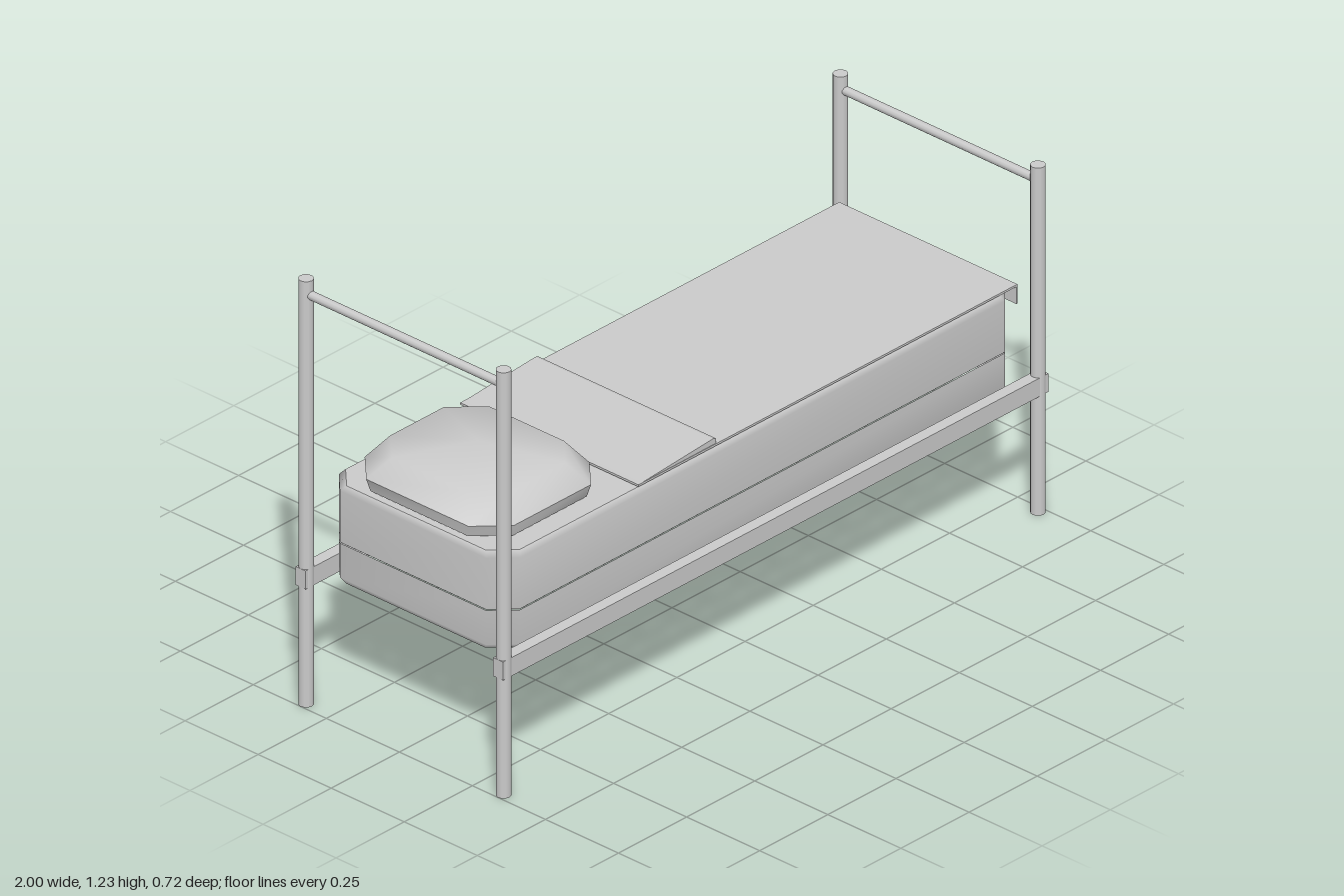
import * as THREE from 'three';

const mat = new THREE.MeshStandardMaterial({ color: 0xcccccc, side: THREE.DoubleSide });

function add(parent, name, geometry, x = 0, y = 0, z = 0) {
  const mesh = new THREE.Mesh(geometry, mat);
  mesh.name = name;
  mesh.position.set(x, y, z);
  parent.add(mesh);
  return mesh;
}

// Rectangle with cut corners in the xz plane
function cutRect(hx, hz, c) {
  return [
    [hx, hz - c], [hx - c, hz], [c - hx, hz], [-hx, hz - c],
    [-hx, c - hz], [c - hx, -hz], [hx - c, -hz], [hx, c - hz],
  ];
}

// Smooth skin through stacked rings [y, halfX, halfZ, corner]; apex closes the top
function skin(rings, apex) {
  const pos = [], index = [], n = 8;
  for (const [y, hx, hz, c] of rings) {
    for (const [x, z] of cutRect(hx, hz, c)) pos.push(x, y, z);
  }
  for (let r = 0; r < rings.length - 1; r++) {
    for (let i = 0; i < n; i++) {
      const a = r * n + i, b = r * n + (i + 1) % n;
      index.push(a, a + n, b, b, a + n, b + n);
    }
  }
  if (apex !== undefined) {
    const top = (rings.length - 1) * n;
    pos.push(0, apex, 0);
    for (let i = 0; i < n; i++) index.push(top + i, rings.length * n, top + (i + 1) % n);
  }
  const g = new THREE.BufferGeometry();
  g.setAttribute('position', new THREE.Float32BufferAttribute(pos, 3));
  g.setIndex(index);
  g.computeVertexNormals();
  return g;
}

// Flat horizontal panel with cut corners, facing up
function panel(hx, hz, c) {
  const shape = new THREE.Shape(cutRect(hx, hz, c).map(([x, z]) => new THREE.Vector2(x, -z)));
  return new THREE.ShapeGeometry(shape).rotateX(-Math.PI / 2);
}

export function createModel() {
  const bed = new THREE.Group();
  bed.name = 'bed';

  // Tubular frame
  const frame = new THREE.Group();
  frame.name = 'frame';
  bed.add(frame);
  for (const [x, height, end] of [[-0.98, 1.225, 'head'], [0.98, 1.0, 'foot']]) {
    for (const z of [-0.338, 0.338]) {
      add(frame, end + 'Post', new THREE.CylinderGeometry(0.02, 0.02, height, 12), x, height / 2, z);
    }
    add(frame, end + 'Bar', new THREE.CylinderGeometry(0.012, 0.012, 0.676, 10), x, height - 0.043, 0)
      .rotation.x = Math.PI / 2;
  }
  for (const z of [-0.338, 0.338]) {
    add(frame, 'sideRail', new THREE.BoxGeometry(2, 0.053, 0.034), 0, 0.37, z);
  }

  // Mattress: shell open underneath, with a fine seam around the middle
  const mattress = new THREE.Group();
  mattress.name = 'mattress';
  bed.add(mattress);
  add(mattress, 'lowerSide', skin([
    [0.368, 0.94, 0.298, 0.06], [0.385, 0.95, 0.31, 0.06], [0.484, 0.95, 0.31, 0.06],
  ]));
  add(mattress, 'upperSide', skin([
    [0.484, 0.947, 0.307, 0.06], [0.487, 0.95, 0.31, 0.06],
    [0.634, 0.95, 0.31, 0.06], [0.648, 0.938, 0.298, 0.06],
  ]));
  add(mattress, 'mattressTop', panel(0.938, 0.298, 0.06), 0, 0.648, 0);

  // Pillow
  const pillow = new THREE.Group();
  pillow.name = 'pillow';
  pillow.position.x = -0.712;
  bed.add(pillow);
  add(pillow, 'pillowBottom', panel(0.215, 0.247, 0.08), 0, 0.656, 0);
  add(pillow, 'pillowRim', skin([[0.656, 0.215, 0.247, 0.08], [0.69, 0.222, 0.255, 0.08]]));
  add(pillow, 'pillowTop', skin([
    [0.69, 0.222, 0.255, 0.08], [0.752, 0.178, 0.208, 0.08],
  ], 0.777));

  // Blanket with a short drop at the foot and a turned-back upper edge
  const blanket = new THREE.Group();
  blanket.name = 'blanket';
  bed.add(blanket);
  add(blanket, 'blanketSheet', new THREE.BoxGeometry(1.39, 0.006, 0.61), 0.245, 0.656, 0);
  add(blanket, 'footDrop', new THREE.BoxGeometry(0.004, 0.055, 0.61), 0.938, 0.631, 0);
  const fold = new THREE.Shape([
    [-0.45, 0.658], [-0.165, 0.66], [-0.165, 0.674], [-0.175, 0.677],
  ].map(([x, y]) => new THREE.Vector2(x, y)));
  add(blanket, 'turnedEdge', new THREE.ExtrudeGeometry(fold, { depth: 0.608, bevelEnabled: false }), 0, 0, -0.304);

  return bed;
}
